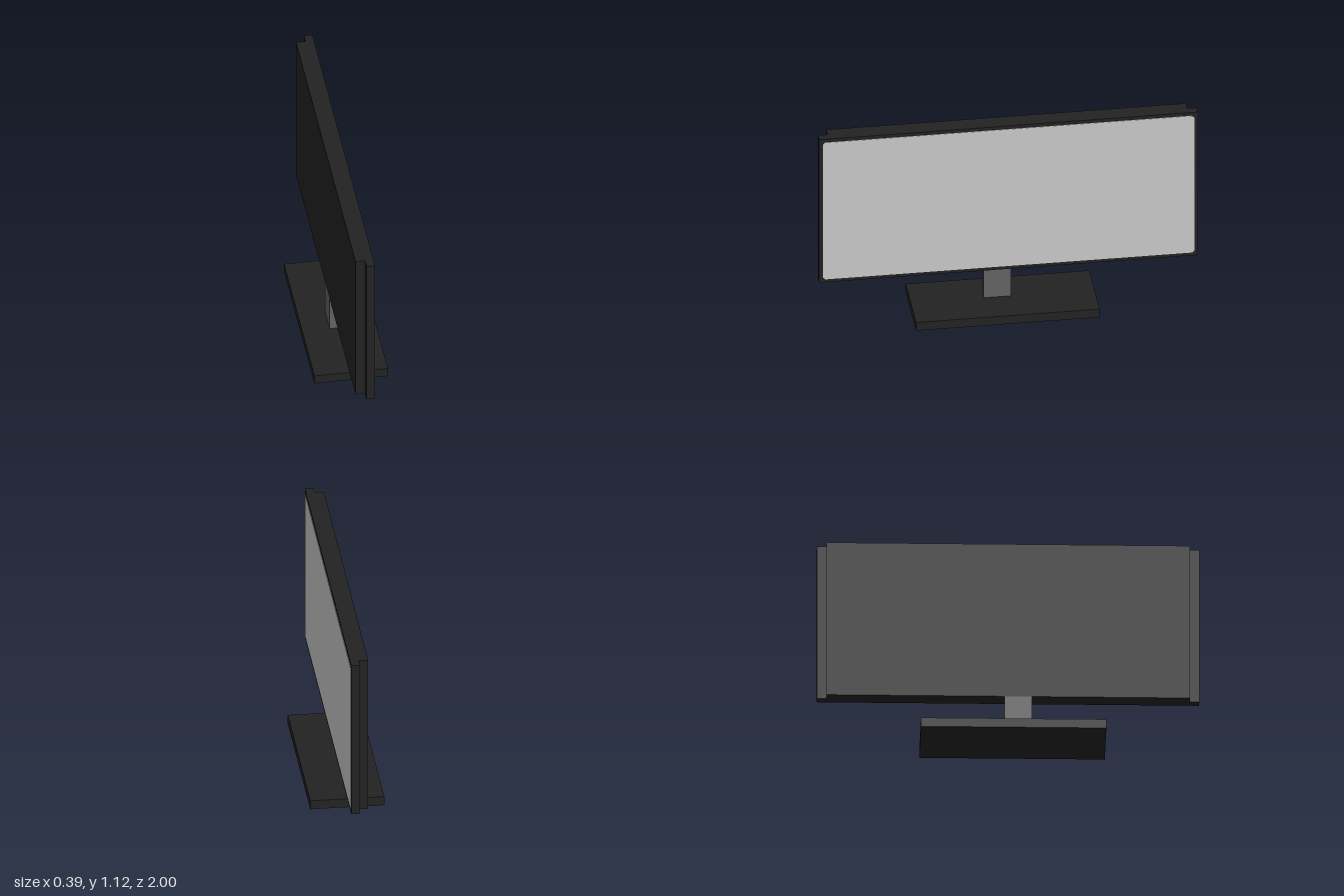
import * as THREE from 'three';

export function createModel() {
  const model = new THREE.Group();
  model.name = 'monitor';

  const black = new THREE.MeshStandardMaterial({ name: 'blackPlastic', color: 0x222222 });
  const grey = new THREE.MeshStandardMaterial({ name: 'greyMetal', color: 0x626262 });
  const pale = new THREE.MeshStandardMaterial({ name: 'paleScreen', color: 0xc6c6c6 });

  // Box given by its lower and upper corners
  function box(name, min, max, material) {
    const size = max.map((v, i) => v - min[i]);
    const mesh = new THREE.Mesh(new THREE.BoxGeometry(...size), material);
    mesh.position.set(...max.map((v, i) => (v + min[i]) / 2));
    mesh.name = name;
    model.add(mesh);
  }

  // Stand
  box('base', [-0.195, 0, -0.46], [0.195, 0.05, 0.51], black);
  box('neck', [-0.05, 0.05, -0.02], [-0.001, 0.245, 0.125], grey);

  // Display body: narrower rear housing behind the full-width front panel
  box('rearHousing', [-0.05, 0.245, -0.95], [0, 1.123, 0.95], black);
  box('frontPanel', [0, 0.245, -1], [0.045, 1.123, 1], black);

  // Screen plate with slightly clipped corners, facing +x
  const w = 0.98, h = 0.42, c = 0.012;
  const outline = new THREE.Shape([
    [-w + c, -h], [w - c, -h], [w, -h + c], [w, h - c],
    [w - c, h], [-w + c, h], [-w, h - c], [-w, -h + c],
  ].map(([x, y]) => new THREE.Vector2(x, y)));
  const screen = new THREE.Mesh(
    new THREE.ExtrudeGeometry(outline, { depth: 0.003, bevelEnabled: false }), pale);
  screen.name = 'screen';
  screen.rotation.y = Math.PI / 2;
  screen.position.set(0.0445, 0.684, 0);
  model.add(screen);

  return model;
}
